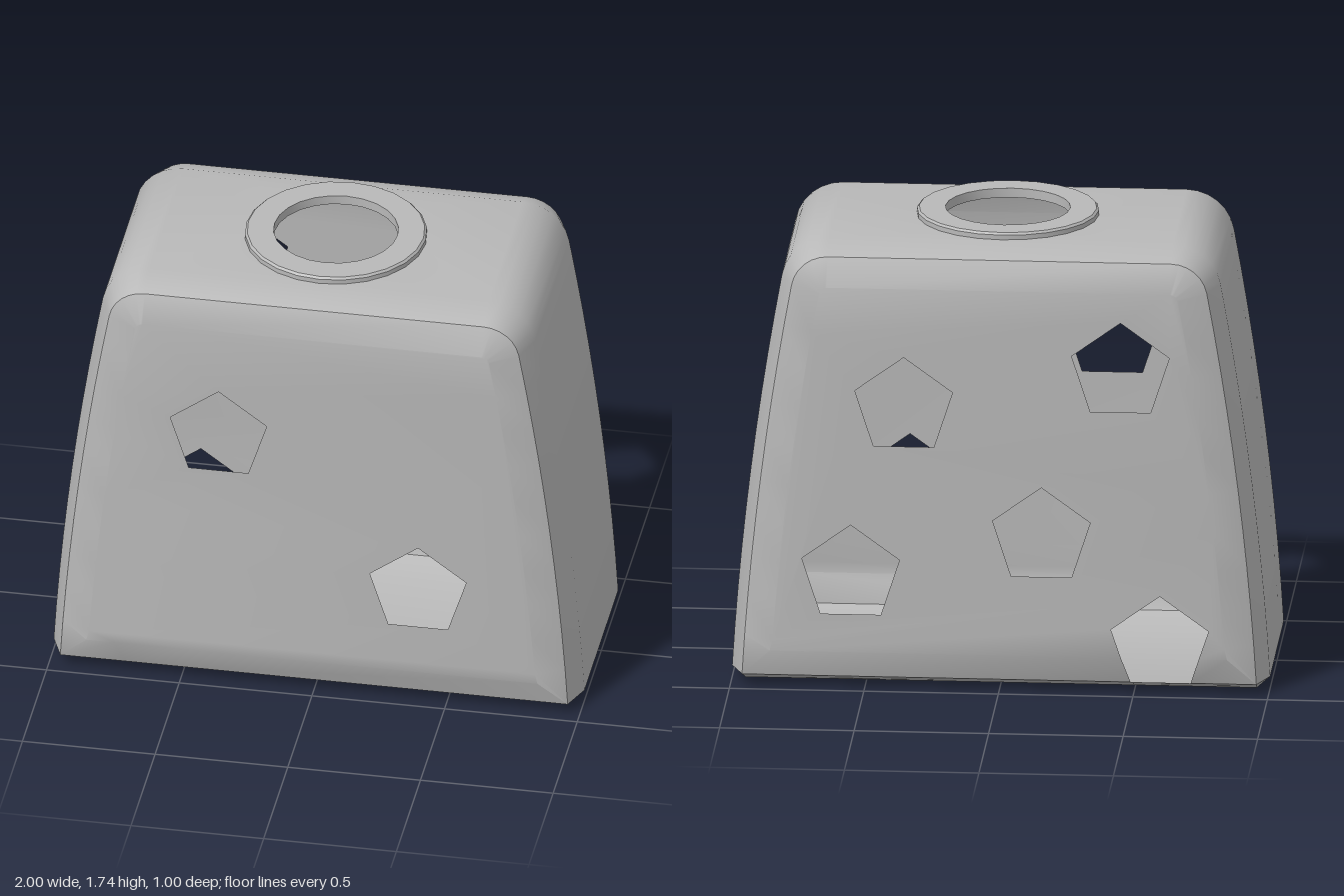
import * as THREE from 'three';
import { mergeGeometries, toCreasedNormals } from 'three/addons/utils/BufferGeometryUtils.js';

const TOP = 1.712, BEVEL = 0.15, DEPTH = 0.5, R = 0.191;

// Layers of the shell from front to back: [inset of the outline, z]
const LAYERS = [[0.15, 0.5], [0.044, 0.456], [0, 0.35], [0, -0.35], [0.044, -0.456], [0.15, -0.5]];
const FRONT_HOLES = [[-0.352, 1.106], [0.4, 0.504]];
const BACK_HOLES = [[0.352, 1.106], [-0.454, 1.257], [0.549, 0.452], [-0.16, 0.612]];
const NOTCH = [-0.6, 0.2]; // fifth back hole, cut into the lower bevel

// Tapered outline, counterclockwise, inset by d
function outline(d) {
  const right = d > 0 ? [[1 - d, d], [1 - d, d]] : [[0.95, 0], [1, 0.045]];
  for (let i = 1; i < 10; i++) {
    const h = 1.513 * i / 10;
    const n = new THREE.Vector2(1, 0.06 + 0.082 * h).normalize();
    right.push([1 - 0.06 * h - 0.041 * h * h - n.x * d, 0.05 + h - n.y * d]);
  }
  for (let i = 0; i <= 6; i++) {
    const a = THREE.MathUtils.degToRad(10 + 80 * i / 6);
    right.push([0.638 + (0.18 - d) * Math.cos(a), TOP - 0.18 + (0.18 - d) * Math.sin(a)]);
  }
  const left = right.map(([x, y]) => [-x, y]).reverse();
  const w = 0.098 + 0.313 * d;
  return [...right, ...left, [NOTCH[0] - w, d], [NOTCH[0] + w, d]];
}

function pentagon([cx, cy]) {
  return [0, 1, 2, 3, 4].map(i => {
    const a = Math.PI / 2 + i * Math.PI * 0.4;
    return new THREE.Vector2(cx + R * Math.cos(a), cy + R * Math.sin(a));
  });
}

// Flat sheet with holes, as unindexed positions
function sheet(shape, flip) {
  const g = new THREE.ShapeGeometry(shape, 12);
  if (flip) g.setIndex(Array.from(g.index.array).reverse());
  const out = g.toNonIndexed();
  out.deleteAttribute('uv');
  out.deleteAttribute('normal');
  return out;
}

// Front or back wall with its pentagon holes
function wall(holes, z, notched) {
  let pts = outline(BEVEL).map(p => new THREE.Vector2(...p));
  if (notched) {
    const p = pentagon(NOTCH);
    pts.splice(pts.length - 1, 0, p[1], p[0], p[4]);
  }
  pts = pts.filter((p, i) => p.distanceTo(pts[(i + 1) % pts.length]) > 1e-5);
  const shape = new THREE.Shape(pts);
  holes.forEach(h => shape.holes.push(new THREE.Path(pentagon(h).reverse())));
  return sheet(shape, z < 0).translate(0, 0, z);
}

// Sides and bevels, leaving out the top panel and the lower notch
function sides() {
  const rings = LAYERS.map(([d, z]) => outline(d).map(([x, y]) => [x, y, z]));
  const n = rings[0].length, topSeg = (n - 2) / 2 - 1, pos = [];
  for (let k = 0; k < 5; k++) {
    for (let i = 0; i < n; i++) {
      if ((k === 2 && i === topSeg) || (k === 4 && i === n - 2)) continue;
      const j = (i + 1) % n;
      const a = rings[k][i], b = rings[k][j], c = rings[k + 1][j], d = rings[k + 1][i];
      pos.push(...a, ...d, ...b, ...b, ...d, ...c);
    }
  }
  const g = new THREE.BufferGeometry();
  g.setAttribute('position', new THREE.Float32BufferAttribute(pos, 3));
  return g;
}

// Top panel with the round opening
function topPanel() {
  const s = new THREE.Shape([[-0.638, -0.35], [0.638, -0.35], [0.638, 0.35], [-0.638, 0.35]]
    .map(p => new THREE.Vector2(...p)));
  s.holes.push(new THREE.Path().absarc(0, 0, 0.232, 0, Math.PI * 2, true));
  return sheet(s, false).rotateX(-Math.PI / 2).translate(0, TOP, 0);
}

export function createModel() {
  const model = new THREE.Group();
  model.name = 'hollowBox';
  const grey = new THREE.MeshStandardMaterial({ color: 0xb8b8b8, side: THREE.DoubleSide });
  grey.name = 'grey';

  // Hollow shell
  const shell = mergeGeometries([
    sides(), topPanel(), wall(FRONT_HOLES, DEPTH, false), wall(BACK_HOLES, -DEPTH, true),
  ]);
  const body = new THREE.Mesh(toCreasedNormals(shell, 0.6), grey);
  body.name = 'body';
  model.add(body);

  // Raised rim around the top opening
  const profile = [[0.338, TOP - 0.005], [0.338, 1.73], [0.33, 1.738], [0.232, 1.738], [0.232, TOP - 0.01]]
    .map(p => new THREE.Vector2(...p));
  const rim = new THREE.Mesh(toCreasedNormals(new THREE.LatheGeometry(profile, 24), 0.6), grey);
  rim.name = 'topRim';
  model.add(rim);
  return model;
}
